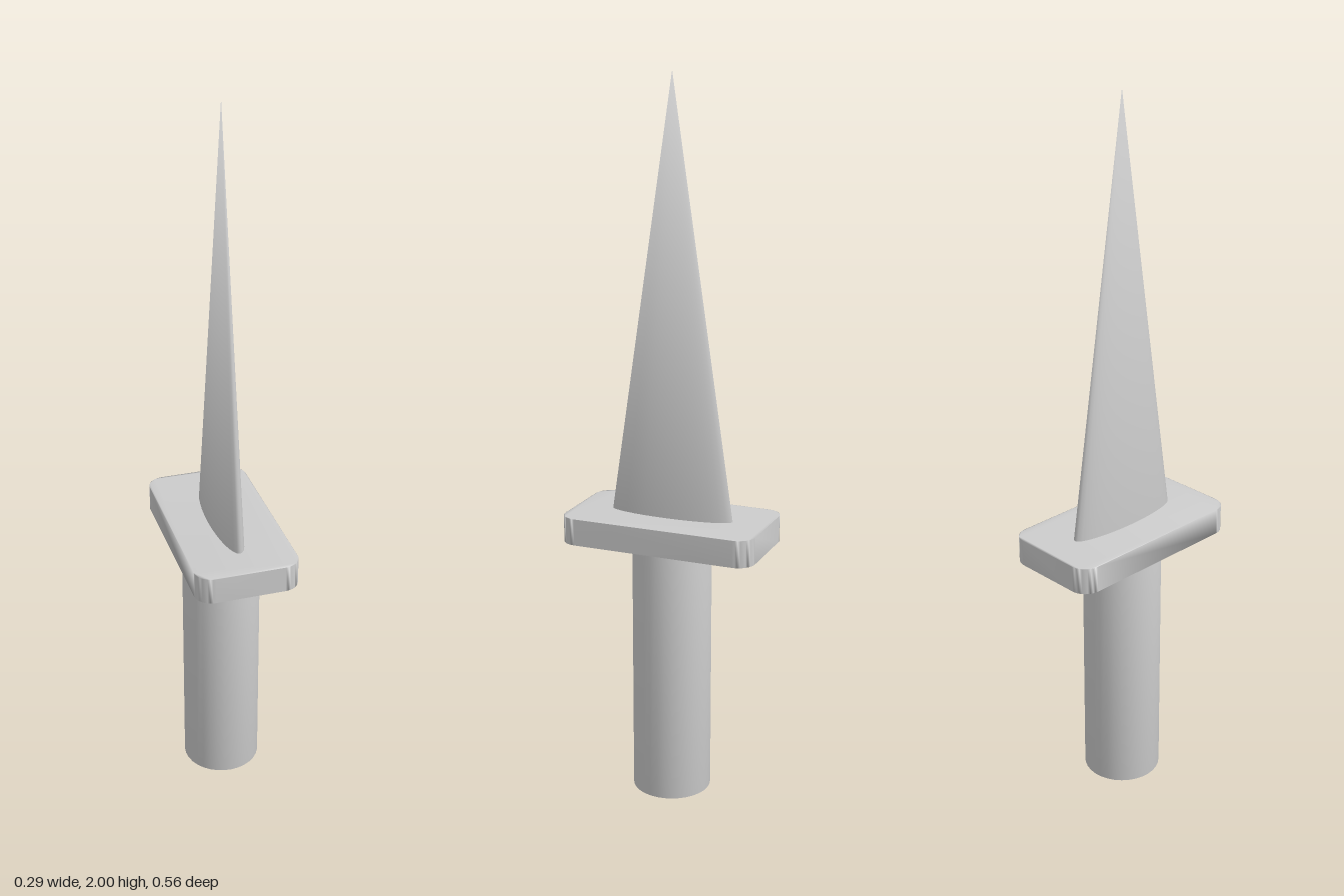
import * as THREE from 'three';
import { mergeVertices } from 'three/addons/utils/BufferGeometryUtils.js';

// Weld all corners so the shading flows across every edge
function soften(geometry) {
  geometry.deleteAttribute('uv');
  geometry.deleteAttribute('normal');
  const welded = mergeVertices(geometry, 1e-4);
  welded.computeVertexNormals();
  return welded;
}

// Rectangle with quarter-round corners
function roundedRect(w, h, r) {
  const s = new THREE.Shape();
  s.absarc(w - r, h - r, r, 0, Math.PI / 2);
  s.absarc(r - w, h - r, r, Math.PI / 2, Math.PI);
  s.absarc(r - w, r - h, r, Math.PI, Math.PI * 1.5);
  s.absarc(w - r, r - h, r, Math.PI * 1.5, Math.PI * 2);
  s.closePath();
  return s;
}

export function createModel() {
  const model = new THREE.Group();
  model.name = 'dagger';
  const steel = new THREE.MeshStandardMaterial({ color: 0xcccccc });
  steel.name = 'light grey';

  const add = (name, geometry) => {
    const mesh = new THREE.Mesh(soften(geometry), steel);
    mesh.name = name;
    model.add(mesh);
  };

  // Round grip
  const gripTop = 0.735;
  const grip = new THREE.CylinderGeometry(0.11, 0.11, gripTop, 32);
  grip.translate(0, gripTop / 2, 0);
  add('handle', grip);

  // Flat guard with rounded corners
  const guardTop = 0.81;
  const guard = new THREE.ExtrudeGeometry(roundedRect(0.145, 0.278, 0.048), {
    depth: guardTop - gripTop, bevelEnabled: false, curveSegments: 5,
  });
  guard.rotateX(-Math.PI / 2);
  guard.translate(0, gripTop, 0);
  add('guard', guard);

  // Blade: a cone flattened across x
  const bladeLength = 2 - guardTop;
  const blade = new THREE.ConeGeometry(0.178, bladeLength, 32);
  blade.scale(0.038 / 0.178, 1, 1);
  blade.translate(0, guardTop + bladeLength / 2, 0);
  add('blade', blade);

  return model;
}
